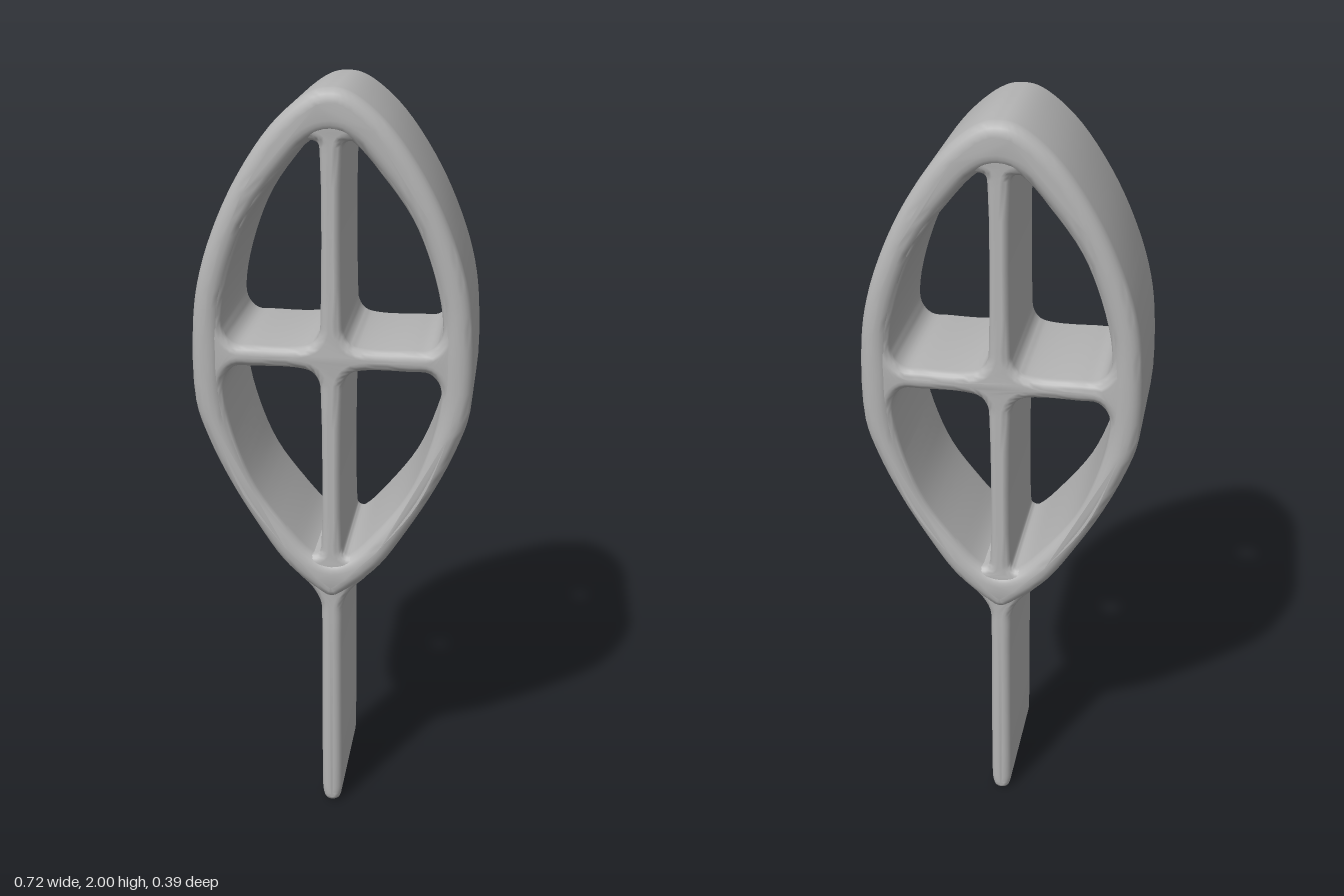
import * as THREE from 'three';
import { mergeVertices, toCreasedNormals } from 'three/addons/utils/BufferGeometryUtils.js';

const MID_Y = 1.327;

// Smooth closed loop through [x, y] points
function loop(points, steps = 4) {
  const curve = new THREE.CatmullRomCurve3(
    points.map(([x, y]) => new THREE.Vector3(x, y, 0)), true, 'centripetal');
  return curve.getPoints(points.length * steps).slice(0, -1).map(p => new THREE.Vector2(p.x, p.y));
}

// Full symmetric loop from its right half, whose first and last points lie on x = 0
function mirrored(half) {
  return half.concat(half.slice(1, -1).reverse().map(([x, y]) => [-x, y]));
}

// Slab centred on z = 0 with rounded edges that stay inside the given outline
function roundedSlab(name, outline, holes, halfDepth, radius, material) {
  const shape = new THREE.Shape(outline);
  shape.holes = holes.map(h => new THREE.Path(h));
  const geometry = new THREE.ExtrudeGeometry(shape, {
    depth: 2 * (halfDepth - radius), bevelEnabled: true, bevelThickness: radius,
    bevelSize: radius, bevelOffset: -radius, bevelSegments: 5,
  });
  geometry.translate(0, 0, -(halfDepth - radius));
  geometry.deleteAttribute('uv');
  geometry.deleteAttribute('normal');
  const mesh = new THREE.Mesh(toCreasedNormals(mergeVertices(geometry, 1e-5), 0.7), material);
  mesh.name = name;
  return mesh;
}

export function createModel() {
  const group = new THREE.Group();
  group.name = 'leafFrame';
  const grey = new THREE.MeshStandardMaterial({ color: 0xb4b4b4 });
  grey.name = 'plain grey';

  // Pointed oval rim
  const rimHalf = [
    [0, 0.655], [0.06, 0.692], [0.13, 0.757], [0.2, 0.86], [0.27, 0.98], [0.325, 1.1],
    [0.355, 1.2], [0.355, 1.42], [0.335, 1.54], [0.29, 1.67], [0.23, 1.79],
    [0.15, 1.905], [0.08, 1.97], [0.035, 1.995], [0, 2],
  ];
  const openingHalf = [
    [0, 0.765], [0.05, 0.782], [0.12, 0.855], [0.2, 0.965], [0.25, 1.085], [0.279, 1.2],
    [0.281, MID_Y], [0.279, 1.45], [0.25, 1.57], [0.2, 1.69], [0.12, 1.8], [0.05, 1.873], [0, 1.89],
  ];
  const rim = loop(mirrored(rimHalf));
  group.add(roundedSlab('rim', rim, [loop(mirrored(openingHalf))], 0.196, 0.034, grey));

  // Cross bars with filleted corners: a plate with four quarter openings
  const quarter = [
    [0.028, 1.84], [0.033, 1.868], [0.055, 1.872], [0.12, 1.8], [0.2, 1.69], [0.25, 1.57],
    [0.278, 1.45], [0.277, 1.39], [0.25, 1.358], [0.2, 1.355], [0.09, 1.355],
    [0.05, 1.365], [0.032, 1.39], [0.028, 1.43],
  ];
  const openings = [];
  for (const sx of [1, -1]) {
    for (const sy of [1, -1]) {
      openings.push(loop(quarter.map(([x, y]) => [sx * x, MID_Y + sy * (y - MID_Y)])));
    }
  }
  const inner = rim.map(p => new THREE.Vector2(p.x * 0.98, MID_Y + (p.y - MID_Y) * 0.98));
  group.add(roundedSlab('crossBars', inner, openings, 0.19, 0.024, grey));

  // Flat stem flaring into the rim
  const stemHalf = [
    [0, 0.005], [0.018, 0.012], [0.026, 0.035], [0.028, 0.08], [0.028, 0.35], [0.028, 0.58],
    [0.031, 0.635], [0.055, 0.68], [0.095, 0.725], [0.07, 0.748], [0, 0.75],
  ];
  group.add(roundedSlab('stem', loop(mirrored(stemHalf)), [], 0.184, 0.023, grey));

  return group;
}
